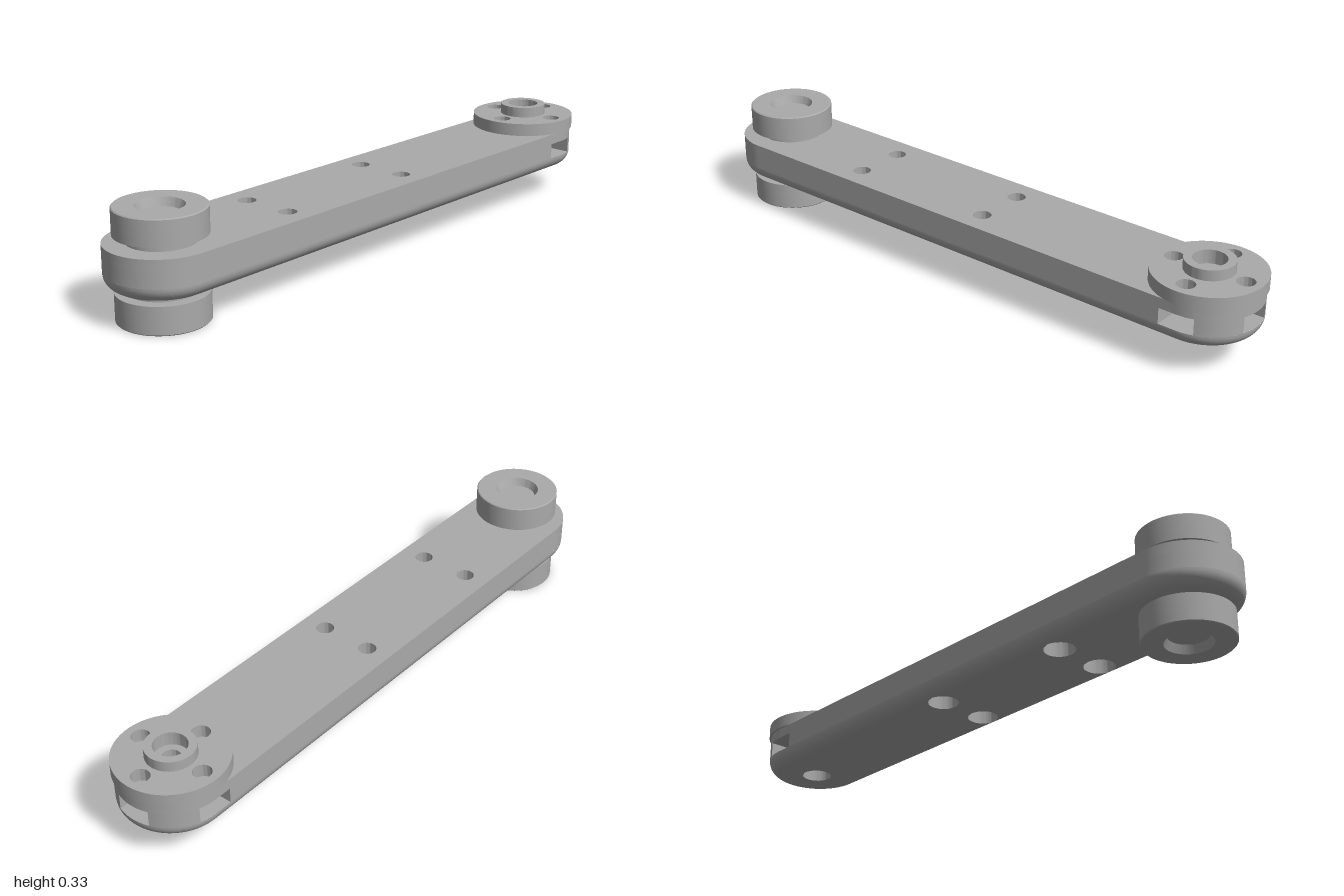
import * as THREE from 'three';
import { toCreasedNormals } from 'three/addons/utils/BufferGeometryUtils.js';

const R = 0.163, XA = -0.837, XB = 0.829;      // arm half width and end centres
const Y0 = 0.1, Y1 = 0.228, ROUND = 0.045;     // arm bottom, top, bottom edge radius
const SLOT = 0.055, SLOT_TOP = 0.195;          // nut slot half width and top
const BORE = 0.028, SINK = 0.048;              // hole radii: top and bottom
const HOLE_X = [-0.43, 0.075], HOLE_Z = 0.083;

const V2 = (x, y) => new THREE.Vector2(x, y);

function lathe(points, x = 0, z = 0) {
  const g = new THREE.LatheGeometry(points.map(p => V2(...p)), 64);
  return toCreasedNormals(g, 0.5).translate(x, 0, z);
}

function circle(x, y, r) {
  return new THREE.Path().absarc(x, y, r, 0, Math.PI * 2, true);
}

function fromArrays(pos, index) {
  const g = new THREE.BufferGeometry();
  g.setAttribute('position', new THREE.Float32BufferAttribute(pos, 3));
  g.setIndex(index);
  g.computeVertexNormals();
  return g;
}

// Stadium outline as [x, z], with points exactly on the slot edges
function outline() {
  const a = Math.asin(SLOT / R), h = Math.PI / 2, pts = [];
  const stops = [-h, -h + a, -a, a, h - a, h];
  for (let k = 0; k < 5; k++)
    for (let i = 0; i < 8; i++) {
      const t = stops[k] + (stops[k + 1] - stops[k]) * i / 8;
      pts.push([XB + R * Math.cos(t), R * Math.sin(t)]);
    }
  pts.push([XB, R], [XB - SLOT, R]);
  for (let i = 0; i <= 40; i++) {
    const t = h + Math.PI * i / 40;
    pts.push([XA + R * Math.cos(t), R * Math.sin(t)]);
  }
  pts.push([XB - SLOT, -R]);
  return pts;
}

// Upright band following the outline, optionally leaving the slots open
function wall(pts, low, high, slots) {
  const pos = [], index = [], n = pts.length;
  pts.forEach(([x, z]) => pos.push(x, low, z, x, high, z));
  for (let i = 0; i < n; i++) {
    const j = (i + 1) % n;
    const x = (pts[i][0] + pts[j][0]) / 2, z = (pts[i][1] + pts[j][1]) / 2;
    const open = x > 0.5 && (Math.abs(x - XB) < SLOT || Math.abs(z) < SLOT);
    if (slots && open) continue;
    index.push(2 * i, 2 * i + 1, 2 * j, 2 * j, 2 * i + 1, 2 * j + 1);
  }
  return fromArrays(pos, index);
}

// Rounded underside, built in rows across z that break at each hole
function underside() {
  const height = (x, z) => {
    const dx = x < XA ? XA - x : Math.max(x - XB, 0);
    const k = Math.min(Math.max(ROUND - R + Math.hypot(dx, z), 0), ROUND);
    return Y0 + ROUND - Math.sqrt(ROUND * ROUND - k * k);
  };
  const half = d => Math.sqrt(Math.max(SINK * SINK - d * d, 0));
  const rows = [-SINK, SINK];
  for (const s of [-1, 1]) rows.push(s * (HOLE_Z - SINK), s * (HOLE_Z + SINK));
  for (let i = 0; i <= 64; i++) rows.push(-R * Math.cos(Math.PI * i / 64));
  rows.sort((a, b) => a - b);
  const pos = [], index = [], N = 16;
  let cols, gaps;
  rows.forEach(z => {
    const w = Math.sqrt(Math.max(R * R - z * z, 0));
    const h = half(Math.abs(z) - HOLE_Z), hub = half(z);
    const xs = [];
    gaps = [];
    for (let i = 0; i <= N; i++) xs.push(XA - w * Math.cos(i / N * Math.PI / 2));
    for (const x of HOLE_X) {
      xs.push(x - h, x + h);
      gaps.push(xs.length - 2);
    }
    xs.push(XB - hub);
    gaps.push(xs.length - 1);
    for (let i = 0; i <= N; i++) xs.push(XB + hub + (w - hub) * Math.sin(i / N * Math.PI / 2));
    cols = xs.length;
    xs.forEach(x => pos.push(x, height(x, z), z));
  });
  for (let i = 0; i < rows.length - 1; i++)
    for (let j = 0; j < cols - 1; j++) {
      if (gaps.includes(j)) continue;
      const a = i * cols + j, c = a + cols;
      index.push(a, a + 1, c, a + 1, c + 1, c);
    }
  return fromArrays(pos, index);
}

// Inward-facing nut slot, opening in direction c around the hub
function slotPocket(c) {
  const at = (s, d) => [XB + d * Math.cos(c) - s * Math.sin(c), d * Math.sin(c) + s * Math.cos(c)];
  const pts = [at(-SLOT, 0.07)];
  for (let i = 0; i <= 8; i++) {
    const s = SLOT * (i / 4 - 1), straight = at(s, R)[0] < XB;
    pts.push(at(s, straight ? R : Math.sqrt(R * R - s * s)));
  }
  pts.push(at(SLOT, 0.07));
  const g = new THREE.ExtrudeGeometry(new THREE.Shape(pts.map(p => V2(...p))),
    { depth: SLOT_TOP - Y0 - ROUND, bevelEnabled: false });
  g.rotateX(-Math.PI / 2).scale(1, 1, -1).translate(0, Y0 + ROUND, 0);
  g.computeVertexNormals();
  return g;
}

export function createModel() {
  const model = new THREE.Group();
  model.name = 'linkArm';
  const grey = new THREE.MeshStandardMaterial({ color: 0xaaaaaa });
  grey.name = 'grey';
  const add = (name, geometry, parent = model) => {
    const m = new THREE.Mesh(geometry, grey);
    m.name = name;
    parent.add(m);
  };

  // Arm
  const arm = new THREE.Group();
  arm.name = 'arm';
  model.add(arm);
  const pts = outline();
  const top = new THREE.Shape(pts.map(p => V2(...p)));
  top.holes.push(circle(XB, 0, BORE));
  for (const x of HOLE_X) for (const s of [-1, 1]) top.holes.push(circle(x, s * HOLE_Z, BORE));
  add('armTop', new THREE.ShapeGeometry(top, 24).rotateX(-Math.PI / 2).translate(0, Y1, 0), arm);
  add('armLowerWall', wall(pts, Y0 + ROUND, SLOT_TOP, true), arm);
  add('armUpperWall', wall(pts, SLOT_TOP, Y1, false), arm);
  add('armUnderside', underside(), arm);
  for (const c of [-Math.PI / 2, 0, Math.PI / 2]) add('nutSlot', slotPocket(c), arm);

  // Counterbored mounting holes
  for (const x of HOLE_X) for (const s of [-1, 1])
    add('mountingHole', lathe([[BORE, Y1], [BORE, 0.16], [SINK, 0.16], [SINK, Y0]], x, s * HOLE_Z), arm);

  // Hub disc with four screw holes
  const disc = new THREE.Shape().absarc(0, 0, 0.169, 0, Math.PI * 2, false);
  disc.holes.push(circle(0, 0, 0.05));
  for (let i = 0; i < 4; i++)
    disc.holes.push(circle(0.118 * Math.cos(i * Math.PI / 2), 0.118 * Math.sin(i * Math.PI / 2), BORE));
  const discGeo = new THREE.ExtrudeGeometry(disc, { depth: 0.041, bevelEnabled: false, curveSegments: 48 });
  add('hubDisc', toCreasedNormals(discGeo, 0.5).rotateX(-Math.PI / 2).translate(XB, 0.229, 0));

  // Hub boss and its stepped bore
  add('hubBoss', lathe([[0.075, 0.268], [0.075, 0.303], [0.05, 0.303], [0.05, 0.26], [BORE, 0.26],
    [BORE, 0.16], [SINK, 0.16], [SINK, Y0]], XB));

  // Pivot with a roller above and below the arm
  const r = 0.134, e = 0.003;
  add('pivotRollers', lathe([[0, 0.025], [0.06, 0.025], [0.07, 0], [r - e, 0], [r, e], [r, 0.085],
    [0.1, 0.085], [0.1, 0.25], [r, 0.25], [r, 0.33 - e], [r - e, 0.33], [0.07, 0.33],
    [0.06, 0.305], [0, 0.305]], XA));

  return model;
}
